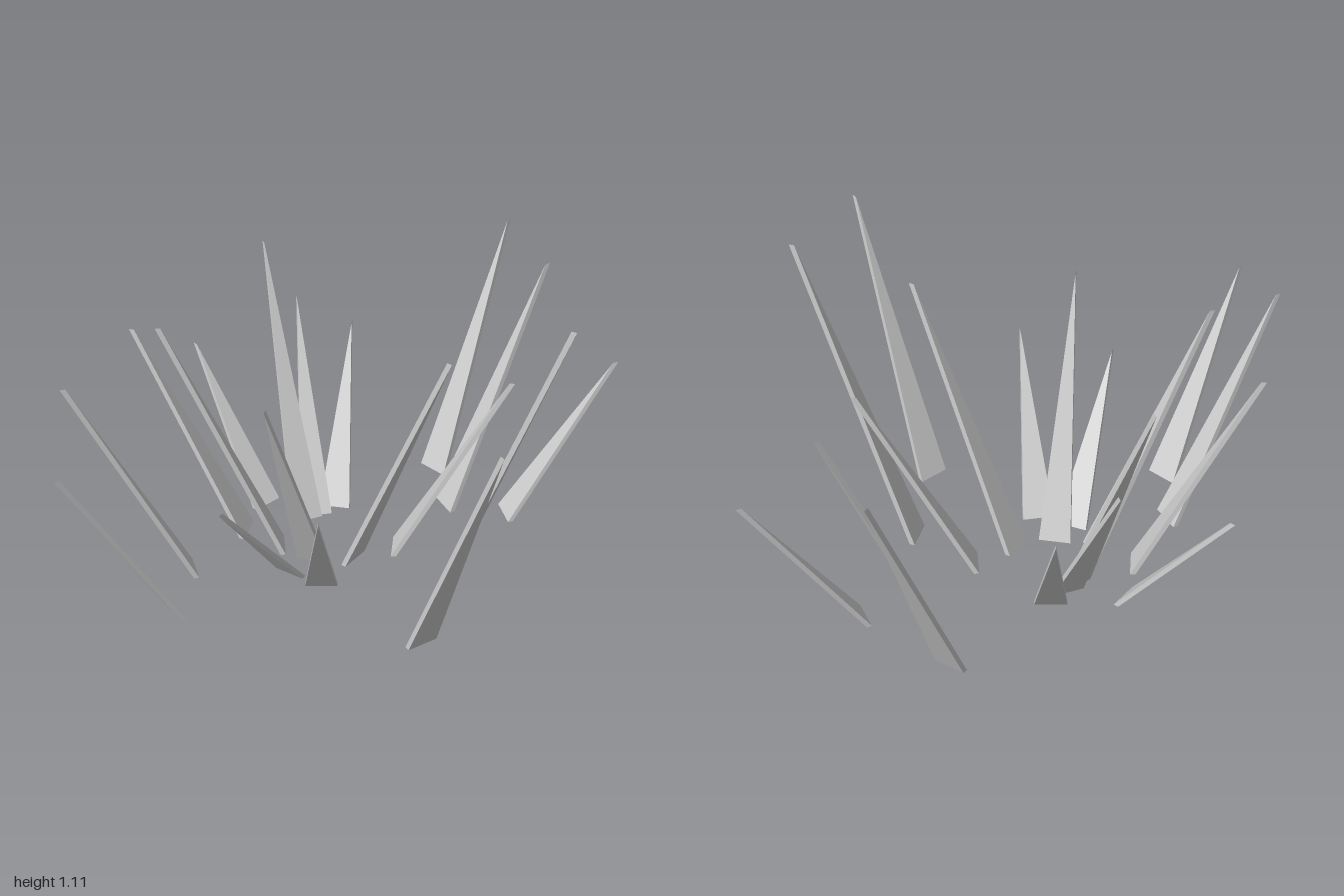
import * as THREE from 'three';

const WIDTH = 0.11;      // blade width at the ground
const THICKNESS = 0.018; // constant along the blade

// Each blade: base x, base z (inner edge), tip x, tip height, tip z (outer edge)
const BLADES = [
  [-0.21, -0.446, -0.39, 0.51, -0.795],
  [-0.307, -0.315, -0.65, 0.78, -0.51],
  [-0.203, -0.20, -0.595, 0.92, -0.265],
  [-0.53, -0.155, -0.925, 0.82, -0.14],
  [-0.628, 0.056, -0.995, 0.72, 0.203],
  [-0.21, -0.056, -0.50, 0.50, 0.215],
  [-0.123, -0.104, -0.345, 0.865, 0.213],
  [-0.128, 0.032, -0.226, 0.55, 0.405],
  [0.005, -0.075, 0.245, 0.957, 0.237],
  [0.16, -0.094, 0.53, 0.715, 0.045],
  [0.286, 0.123, 0.587, 1.107, 0.383],
  [0.112, 0.406, 0.226, 0.99, 0.787],
  [0.60, -0.176, 0.99, 0.585, -0.175],
  [0.404, -0.28, 0.786, 0.905, -0.362],
  [0.43, -0.497, 0.764, 0.903, -0.706],
  [0.02, -0.368, 0.18, 0.56, -0.715],
  [-0.053, -0.337, -0.023, 0.686, -0.73],
  [-0.09, -0.318, -0.143, 0.94, -0.705],
];

// Triangular prism, sheared so it leans outward while its base stays on the ground
function bladeGeometry(run, height) {
  const outline = new THREE.Shape([
    new THREE.Vector2(-WIDTH / 2, 0),
    new THREE.Vector2(WIDTH / 2, 0),
    new THREE.Vector2(0, height),
  ]);
  const geometry = new THREE.ExtrudeGeometry(outline, { depth: THICKNESS, bevelEnabled: false });
  const lean = (run - THICKNESS) / height;
  const position = geometry.attributes.position;
  for (let i = 0; i < position.count; i++) {
    position.setZ(i, position.getZ(i) + position.getY(i) * lean);
  }
  geometry.computeVertexNormals();
  return geometry;
}

export function createModel() {
  const group = new THREE.Group();
  group.name = 'grassTuft';
  const bladeGrey = new THREE.MeshStandardMaterial({ color: 0xcccccc });
  bladeGrey.name = 'bladeGrey';

  BLADES.forEach(([bx, bz, tx, height, tz], i) => {
    const dx = tx - bx;
    const dz = tz - bz;
    const blade = new THREE.Mesh(bladeGeometry(Math.hypot(dx, dz), height), bladeGrey);
    blade.name = `grassBlade${i + 1}`;
    blade.position.set(bx, 0, bz);
    blade.rotation.y = Math.atan2(dx, dz); // turn the lean toward the tip
    group.add(blade);
  });
  return group;
}
